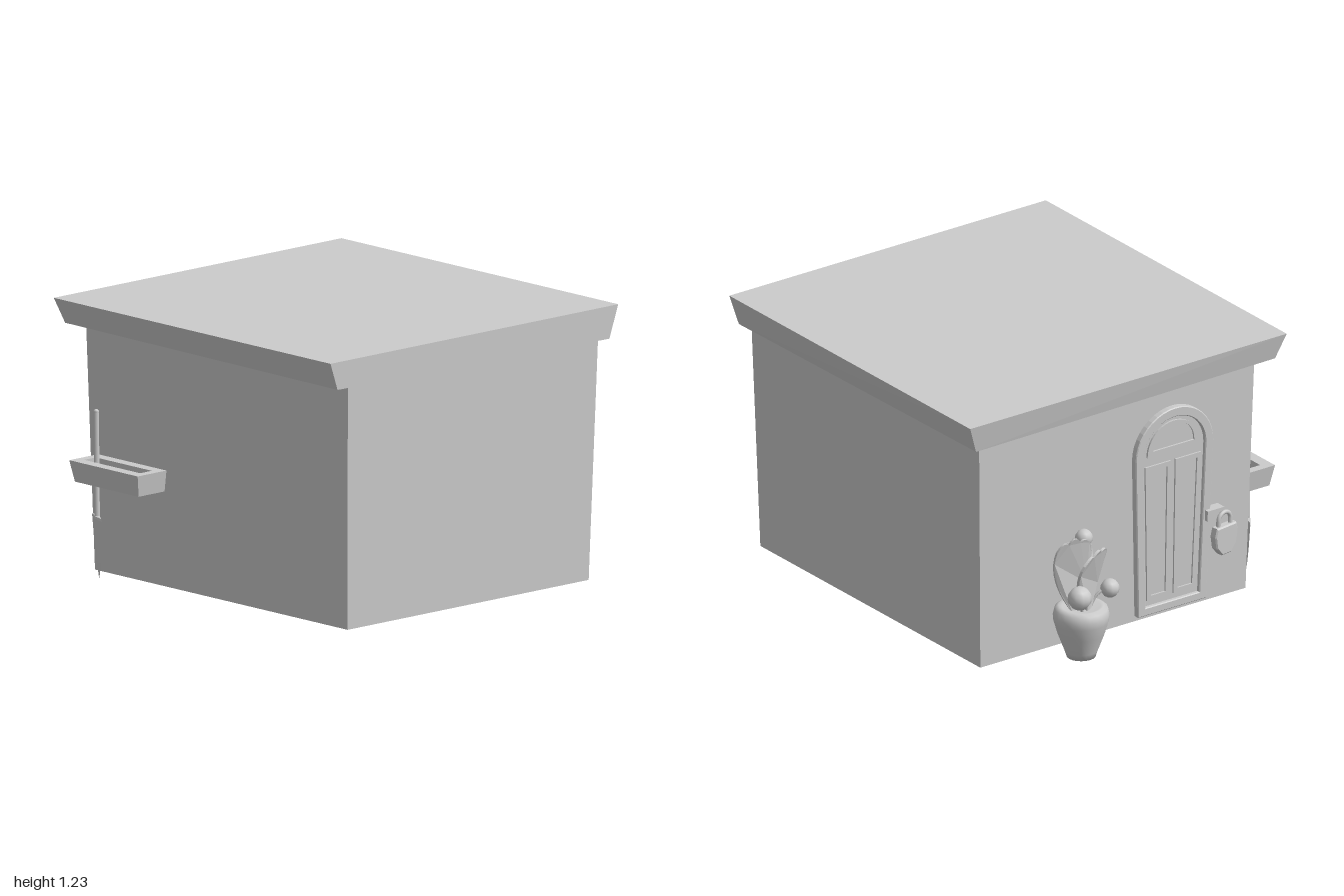
import * as THREE from 'three';

const grey = new THREE.MeshStandardMaterial({ color: 0xcccccc, side: THREE.DoubleSide });

function add(parent, name, geometry, pos = [0, 0, 0], rot = [0, 0, 0]) {
  const mesh = new THREE.Mesh(geometry, grey);
  mesh.name = name;
  mesh.position.set(...pos);
  mesh.rotation.set(...rot);
  parent.add(mesh);
  return mesh;
}

function group(parent, name, pos, rot = [0, 0, 0]) {
  const g = new THREE.Group();
  g.name = name;
  g.position.set(...pos);
  g.rotation.set(...rot);
  parent.add(g);
  return g;
}

// Four corners, anticlockwise from above; y may differ per corner
function rect(x0, x1, z0, z1, y) {
  const h = Array.isArray(y) ? y : [y, y, y, y];
  return [[x0, h[0], z1], [x1, h[1], z1], [x1, h[2], z0], [x0, h[3], z0]];
}

// Flat-faced skin over a list of four-cornered rings
function loft(rings, capped) {
  const p = [];
  const quad = (a, b, c, d) => p.push(...a, ...b, ...c, ...a, ...c, ...d);
  for (let r = 0; r < rings.length - 1; r++) {
    const [lo, hi] = [rings[r], rings[r + 1]];
    for (let i = 0; i < 4; i++) quad(lo[i], lo[(i + 1) % 4], hi[(i + 1) % 4], hi[i]);
  }
  if (capped) {
    quad(...rings[rings.length - 1]);
    quad(...[...rings[0]].reverse());
  }
  const g = new THREE.BufferGeometry();
  g.setAttribute('position', new THREE.Float32BufferAttribute(p, 3));
  g.computeVertexNormals();
  return g;
}

// Door outline: tapered sides with a round arch
function archShape(y0, bottomHalf, topHalf, spring, Type = THREE.Shape) {
  const s = new Type();
  s.moveTo(-bottomHalf, y0);
  s.lineTo(bottomHalf, y0);
  s.lineTo(topHalf, spring);
  s.absarc(0, spring, topHalf, 0, Math.PI, false);
  s.lineTo(-bottomHalf, y0);
  return s;
}

const polygon = (pts) => new THREE.Shape(pts.map(([x, y]) => new THREE.Vector2(x, y)));

const extrude = (shape, depth, bevel = 0) => new THREE.ExtrudeGeometry(shape, {
  depth, curveSegments: 10, bevelEnabled: bevel > 0, bevelSize: bevel, bevelThickness: bevel, bevelSegments: 1,
});

function buildDoor(root) {
  const door = group(root, 'door', [-0.28, 0, -0.665], [-0.023, Math.PI, 0]);
  const frame = archShape(0.03, 0.182, 0.208, 0.785);
  frame.holes.push(archShape(0.06, 0.15, 0.172, 0.785, THREE.Path));
  add(door, 'doorFrame', extrude(frame, 0.026, 0.004));
  add(door, 'doorLeaf', extrude(archShape(0.05, 0.155, 0.178, 0.785), 0.012));

  // Raised borders of the two tall panels
  for (const s of [-1, 1]) {
    const outer = [[0.012, 0.09], [0.132, 0.09], [0.152, 0.74], [0.012, 0.74]];
    const inner = [[0.032, 0.112], [0.112, 0.112], [0.131, 0.718], [0.032, 0.718]];
    const border = polygon(outer.map(([x, y]) => [s * x, y]));
    border.holes.push(polygon(inner.map(([x, y]) => [s * x, y])));
    add(door, 'panelBorder', extrude(border, 0.02));
  }

  // Half-round window over the panels
  const fan = archShape(0.785, 0.142, 0.142, 0.79);
  fan.holes.push(archShape(0.81, 0.112, 0.112, 0.812, THREE.Path));
  add(door, 'fanlightBorder', extrude(fan, 0.021));

  // Padlock hanging from a hasp on the edge of the door
  const lock = group(door, 'padlock', [0.245, 0, 0.055], [0, 0.15, 0]);
  const body = polygon([[-0.055, 0.375], [-0.064, 0.34], [-0.055, 0.285], [-0.025, 0.25],
    [0.025, 0.25], [0.055, 0.285], [0.064, 0.34], [0.055, 0.375]]);
  add(lock, 'lockBody', extrude(body, 0.028, 0.006));
  add(lock, 'lockShackle', new THREE.TorusGeometry(0.036, 0.01, 8, 14, Math.PI), [0, 0.405, 0.014]);
  for (const s of [-1, 1]) {
    add(lock, 'shackleLeg', new THREE.CylinderGeometry(0.01, 0.01, 0.04, 8), [s * 0.036, 0.388, 0.014]);
  }
  add(door, 'hasp', new THREE.BoxGeometry(0.09, 0.05, 0.05), [0.215, 0.43, 0.025]);
}

function buildTrowel(root) {
  const trowel = group(root, 'trowel', [0, 0, 0]);
  const path = new THREE.LineCurve3(new THREE.Vector3(-0.792, 0.24, -0.552), new THREE.Vector3(-0.772, 0.74, -0.58));
  add(trowel, 'trowelHandle', new THREE.TubeGeometry(path, 1, 0.012, 8));
  add(trowel, 'handleEnd', new THREE.SphereGeometry(0.013, 8, 6), [-0.772, 0.735, -0.58]);
  // Blade sections: height, centre x, centre z, size
  const rings = [[0, -0.8, -0.53, 0.03], [0.07, -0.8, -0.534, 0.45], [0.15, -0.798, -0.54, 0.75],
    [0.265, -0.795, -0.55, 1], [0.275, -0.794, -0.551, 0.85]].map(([y, x, z, k]) => [
    [x - 0.012 * k, y, z - 0.006 * k], [x - 0.034 * k, y, z + 0.068 * k],
    [x + 0.012 * k, y, z + 0.006 * k], [x + 0.034 * k, y, z - 0.068 * k]]);
  add(trowel, 'trowelBlade', loft(rings, true));
}

function buildPlant(root) {
  const plant = group(root, 'pottedPlant', [0.31, 0, -0.82]);
  const profile = [[0, 0], [0.065, 0], [0.075, 0.03], [0.105, 0.11], [0.122, 0.17], [0.125, 0.2],
    [0.118, 0.23], [0.1, 0.243], [0.085, 0.238], [0, 0.232]];
  add(plant, 'pot', new THREE.LatheGeometry(profile.map(([x, y]) => new THREE.Vector2(x, y)), 20));

  // Broad leaf with a lobed tip, bowed along its length
  const leafGeometry = (length, width) => {
    const s = new THREE.Shape();
    s.moveTo(0.012, 0);
    s.bezierCurveTo(width * 0.4, length * 0.25, width * 0.62, length * 0.6, width * 0.48, length * 0.85);
    s.quadraticCurveTo(width * 0.3, length * 1.02, width * 0.16, length * 0.93);
    s.quadraticCurveTo(0, length * 1.08, -width * 0.16, length * 0.93);
    s.quadraticCurveTo(-width * 0.3, length * 1.02, -width * 0.48, length * 0.85);
    s.bezierCurveTo(-width * 0.62, length * 0.6, -width * 0.4, length * 0.25, -0.012, 0);
    const g = extrude(s, 0.012);
    const p = g.attributes.position;
    for (let i = 0; i < p.count; i++) {
      p.setZ(i, p.getZ(i) + 0.025 * Math.sin(Math.PI * p.getY(i) / length));
    }
    g.computeVertexNormals();
    return g;
  };
  // Base, length, width, turn, lean
  const leaves = [
    [[-0.06, 0.23, 0.02], 0.3, 0.17, 0.1, 0.28],
    [[0.05, 0.23, -0.02], 0.35, 0.18, -0.1, -0.03],
    [[-0.01, 0.23, -0.05], 0.3, 0.21, 0.45, -0.17],
  ];
  for (const [base, length, width, turn, lean] of leaves) {
    const leaf = add(plant, 'leaf', leafGeometry(length, width), base);
    leaf.rotation.set(lean, turn, 0, 'YXZ');
  }

  // Round buds on short stems
  for (const [x, y, z, r] of [[-0.03, 0.55, 0.02, 0.04], [0.1, 0.345, -0.125, 0.054], [-0.12, 0.31, -0.05, 0.043]]) {
    add(plant, 'bud', new THREE.SphereGeometry(r, 10, 8), [x, y, z]);
    const stem = new THREE.QuadraticBezierCurve3(new THREE.Vector3(x * 0.3, 0.23, z * 0.4),
      new THREE.Vector3(x * 0.5, y, z * 0.5), new THREE.Vector3(x, y, z));
    add(plant, 'budStem', new THREE.TubeGeometry(stem, 6, 0.007, 6));
  }
}

export function createModel() {
  const root = new THREE.Group();
  root.name = 'gardenHouse';

  // Walls flare slightly and are open underneath
  add(root, 'walls', loft([
    rect(-0.7, 0.745, -0.665, 0.96, 0),
    rect(-0.73, 0.77, -0.69, 0.993, [1.1, 1.08, 1.095, 1.11]),
  ], false));

  // Roof slab, flush at the front and overhanging elsewhere
  add(root, 'roof', loft([
    rect(-0.795, 0.835, -0.755, 0.997, [1.1, 1.077, 1.093, 1.11]),
    rect(-0.84, 0.885, -0.78, 1, 1.225),
  ], true));

  // Tool rack: tapered box with an open slot
  const rackBottom = rect(-0.867, -0.7, -0.615, -0.205, 0.43);
  add(root, 'toolRack', loft([
    rackBottom,
    rect(-0.887, -0.7, -0.63, -0.19, 0.527),
    rect(-0.835, -0.765, -0.59, -0.23, 0.527),
    rect(-0.835, -0.765, -0.59, -0.23, 0.43),
    rackBottom,
  ], false));

  buildDoor(root);
  buildTrowel(root);
  buildPlant(root);
  return root;
}
